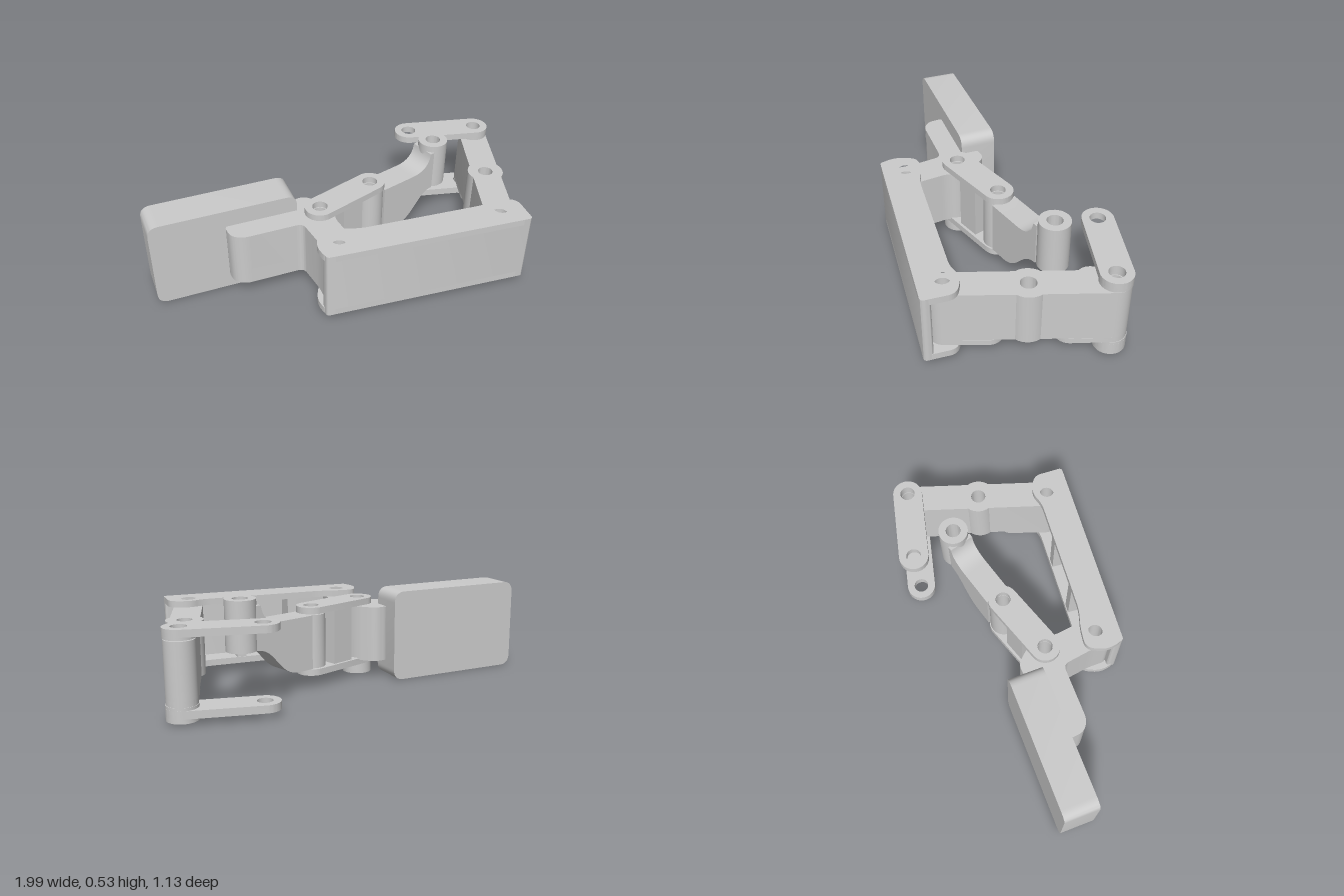
import * as THREE from 'three';
import { toCreasedNormals } from 'three/addons/utils/BufferGeometryUtils.js';

const material = new THREE.MeshStandardMaterial({ color: 0xcccccc });

// Pivot centres in plan, as [x, z]
const A = [-0.08, 0.15], B = [-0.02, 0.43], C = [0.215, -0.035], D = [0.61, -0.255];
const E = [0.915, -0.485], G = [0.525, -0.485], H = [0.845, 0.295], I = [0.88, -0.092];
const R = 0.08, HOLE = 0.04;

function addMesh(parent, name, geometry) {
  const mesh = new THREE.Mesh(toCreasedNormals(geometry, 0.6), material);
  mesh.name = name;
  parent.add(mesh);
  return mesh;
}

// Closed plan outline with rounded corners
function roundedShape(points, r) {
  const pts = points.map(([x, z]) => new THREE.Vector2(x, -z));
  const shape = new THREE.Shape();
  pts.forEach((p, i) => {
    const prev = pts[(i + pts.length - 1) % pts.length], next = pts[(i + 1) % pts.length];
    const toward = (q) => p.clone().add(q.clone().sub(p).setLength(Math.min(r, q.distanceTo(p) / 2)));
    const a = toward(prev), b = toward(next);
    if (i) shape.lineTo(a.x, a.y); else shape.moveTo(a.x, a.y);
    shape.quadraticCurveTo(p.x, p.y, b.x, b.y);
  });
  shape.closePath();
  return shape;
}

// Plan outline with a half circle around each end
function capsuleShape(a, b, r = R) {
  const t = Math.atan2(-(b[1] - a[1]), b[0] - a[0]);
  const shape = new THREE.Shape();
  shape.absarc(a[0], -a[1], r, t + Math.PI / 2, t + Math.PI * 1.5, false);
  shape.absarc(b[0], -b[1], r, t - Math.PI / 2, t + Math.PI / 2, false);
  shape.closePath();
  return shape;
}

function discShape(c, r = R) {
  return new THREE.Shape().absarc(c[0], -c[1], r, 0, Math.PI * 2, false);
}

// Plan outline raised from y0 to y1, drilled at the given pivots
function slab(shape, y0, y1, pivots = []) {
  for (const c of pivots) {
    shape.holes.push(new THREE.Path().absarc(c[0], -c[1], HOLE, 0, Math.PI * 2, true));
  }
  return new THREE.ExtrudeGeometry(shape, { depth: y1 - y0, bevelEnabled: false, curveSegments: 16 })
    .rotateX(-Math.PI / 2).translate(0, y0, 0);
}

export function createModel() {
  const model = new THREE.Group();
  const part = (name) => {
    const group = new THREE.Group();
    group.name = name;
    model.add(group);
    return group;
  };

  // Fingertip block, rounded seen from the front
  const pad = roundedShape([[-0.39, -0.2475], [0.39, -0.2475], [0.39, 0.2475], [-0.39, 0.2475]], 0.06);
  const padGeometry = new THREE.ExtrudeGeometry(pad, { depth: 0.19, bevelEnabled: false, curveSegments: 8 });
  padGeometry.translate(0, 0, -0.095).rotateY(0.2326).translate(-0.597, 0.2475, 0.113);
  addMesh(model, 'fingertipPad', padGeometry);

  // Bracket joining the pad to two pivots
  const bracket = [[-0.58, 0.2], [-0.55, 0.285], [-0.49, 0.308], [-0.18, 0.235], [-0.115, 0.4],
    [-0.09, 0.51], [0.05, 0.5], [0.05, 0.37], [-0.01, 0.21], [0, 0.14], [-0.06, 0.06], [-0.15, 0],
    [-0.23, 0.03], [-0.24, 0.1]];
  addMesh(model, 'padBracket', slab(roundedShape(bracket, 0.035), 0.095, 0.4, [A, B]));

  // Short link: two plates with a web between
  const shortLink = part('shortLink');
  addMesh(shortLink, 'topPlate', slab(capsuleShape(A, C), 0.405, 0.44, [A, C]));
  addMesh(shortLink, 'bottomPlate', slab(capsuleShape(A, C), 0.07, 0.105, [A, C]));
  addMesh(shortLink, 'pivotBoss', slab(discShape(A), 0.012, 0.07, [A]));
  const web = new THREE.BoxGeometry(0.13, 0.3, 0.13);
  web.rotateY(Math.atan2(A[1] - C[1], C[0] - A[0]));
  web.translate((A[0] + C[0]) / 2, 0.255, (A[1] + C[1]) / 2);
  addMesh(shortLink, 'web', web);

  // Drive arm: side profile swept across its width, from the post (s = 0) to the joint
  const driveArm = part('driveArm');
  const length = Math.hypot(C[0] - D[0], C[1] - D[1]);
  const profile = new THREE.Shape();
  profile.moveTo(0.05, 0.27);
  profile.bezierCurveTo(0.16, 0.27, 0.18, 0.11, 0.31, 0.11);
  profile.lineTo(length - 0.05, 0.11);
  profile.lineTo(length - 0.05, 0.4);
  profile.lineTo(0.2, 0.4);
  profile.quadraticCurveTo(0.085, 0.4, 0.075, 0.5);
  profile.lineTo(0.05, 0.5);
  profile.closePath();
  const beam = new THREE.ExtrudeGeometry(profile, { depth: 0.14, bevelEnabled: false, curveSegments: 12 });
  beam.translate(0, 0, -0.07).rotateY(Math.atan2(-(C[1] - D[1]), C[0] - D[0])).translate(D[0], 0, D[1]);
  addMesh(driveArm, 'beam', beam);
  addMesh(driveArm, 'post', slab(discShape(D), 0.27, 0.535, [D]));
  addMesh(driveArm, 'jointBarrel', slab(discShape(C, 0.075), 0.11, 0.4, [C]));

  // Outer link: top and bottom plates, outer wall and ribs, open toward the back
  const outerLink = part('outerLink');
  const outline = [[-0.115, 0.36], [0, 0.35], [0.1, 0.36], [0.77, 0.255], [0.84, 0.21], [0.95, 0.235],
    [0.98, 0.4], [-0.1, 0.565], [-0.14, 0.47]];
  for (const [name, y] of [['topPlate', 0.405], ['bottomPlate', 0.055]]) {
    addMesh(outerLink, name, slab(roundedShape(outline, 0.045), y, y + 0.035, [B, H]));
  }
  const wall = [[-0.115, 0.51], [-0.1, 0.565], [0.98, 0.4], [0.972, 0.35]];
  addMesh(outerLink, 'outerWall', slab(roundedShape(wall, 0.02), 0.055, 0.44));
  for (const x of [0.27, 0.57]) {
    const rib = new THREE.BoxGeometry(0.05, 0.32, 0.13);
    rib.rotateY(0.152).translate(x, 0.2475, 0.545 - 0.153 * x - 0.1);
    addMesh(outerLink, 'rib', rib);
  }
  addMesh(outerLink, 'pivotBoss', slab(discShape(B), 0.025, 0.055, [B]));

  // Side link with a bulge at its middle pivot and a relief underneath
  const sideLink = part('sideLink');
  addMesh(sideLink, 'body', slab(capsuleShape(H, E, 0.077), 0.12, 0.405, [H, I, E]));
  addMesh(sideLink, 'middleBulge', slab(discShape(I, 0.097), 0.12, 0.405, [I]));
  addMesh(sideLink, 'frontFoot', slab(capsuleShape(H, [0.868, 0.09], 0.077), 0.09, 0.12, [H]));
  addMesh(sideLink, 'rearFoot', slab(capsuleShape([0.9, -0.29], E, 0.077), 0.09, 0.12, [E]));

  // Pair of rear plates, each stepped at the hinge
  const rearLink = part('rearLink');
  addMesh(rearLink, 'topPlate', slab(capsuleShape(G, E), 0.425, 0.462, [G, E]));
  addMesh(rearLink, 'topBoss', slab(discShape(E), 0.41, 0.425, [E]));
  addMesh(rearLink, 'bottomPlate', slab(capsuleShape(G, E), 0.035, 0.075, [G, E]));
  addMesh(rearLink, 'bottomBoss', slab(discShape(E), 0.012, 0.035, [E]));
  addMesh(rearLink, 'bottomSpacer', slab(discShape(E), 0.075, 0.09, [E]));

  return model;
}
